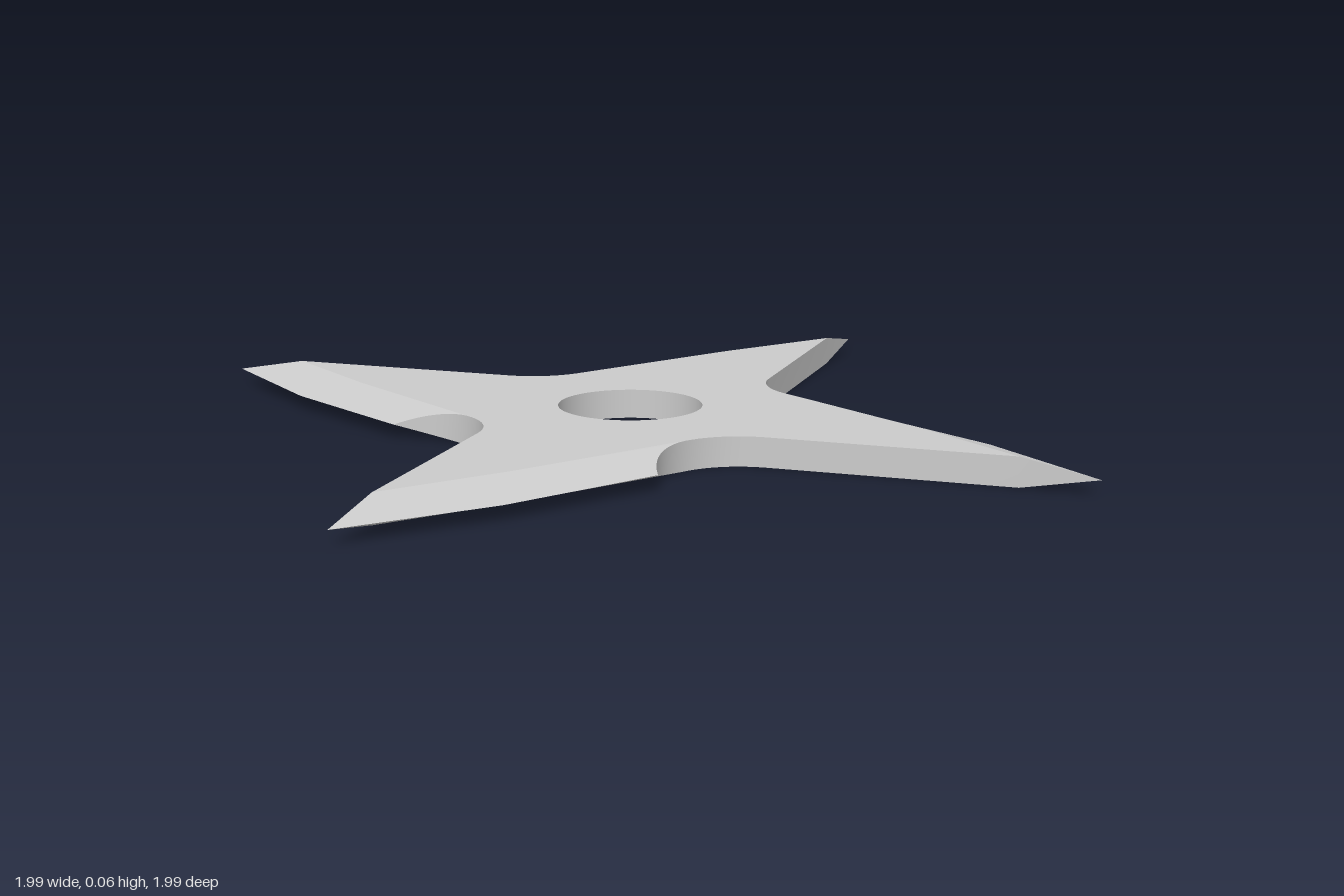
import * as THREE from 'three';
import { toCreasedNormals } from 'three/addons/utils/BufferGeometryUtils.js';

const MID = 0.03; // half of the plate thickness
const HOLE_RADIUS = 0.147;
const material = new THREE.MeshStandardMaterial({ color: 0xcccccc });

// Plan coordinates of one blade (x, v = -z), pointing to +v; h is the half thickness there
const pt = (x, v, h) => ({ x, v, h });
const turn = (p, k) => {
  let { x, v } = p;
  for (let i = 0; i < k; i++) [x, v] = [-v, x];
  return pt(x, v, p.h);
};

const tip = pt(0.172, 0.996, 0);
const edgeMid = pt(-0.04, 0.735, 0);
const ridgeTop = pt(0.165, 0.84, MID);
const ridgeMid = pt(0, 0.61, MID);

// Round notch between neighbouring blades
function notchArc(fromDeg, toDeg, steps) {
  const points = [];
  for (let i = 0; i <= steps; i++) {
    const a = THREE.MathUtils.degToRad(fromDeg + (toDeg - fromDeg) * i / steps);
    points.push(pt(-0.355 + 0.16 * Math.cos(a), 0.343 + 0.16 * Math.sin(a), MID));
  }
  return points;
}
const bevelArc = notchArc(32, -28, 10);
const rootArc = notchArc(-28, -87, 10);

// The bevel rises evenly from the cutting edge to the ridge
const edgeEnd = bevelArc[0];
const fromEdge = (p) => Math.abs((edgeEnd.x - edgeMid.x) * (p.v - edgeMid.v)
  - (edgeEnd.v - edgeMid.v) * (p.x - edgeMid.x));
const ridgeDistance = fromEdge(bevelArc[bevelArc.length - 1]);
bevelArc.forEach((p) => { p.h = MID * Math.min(1, fromEdge(p) / ridgeDistance); });

const top = (p) => [p.x, MID + p.h, -p.v];
const bottom = (p) => [p.x, MID - p.h, -p.v];

function trianglesMesh(name, corners) {
  const geometry = new THREE.BufferGeometry();
  geometry.setAttribute('position', new THREE.Float32BufferAttribute(corners.flat(), 3));
  const mesh = new THREE.Mesh(toCreasedNormals(geometry, 0.15), material);
  mesh.name = name;
  return mesh;
}

// Flat faces above and below, with the round hole
function flatFace(name, isTop) {
  const points = [];
  for (let k = 0; k < 4; k++) {
    for (const p of [ridgeTop, ridgeMid, ...rootArc]) {
      const q = turn(p, k);
      points.push(new THREE.Vector2(q.x, isTop ? q.v : -q.v));
    }
  }
  const shape = new THREE.Shape(points);
  shape.holes.push(new THREE.Path().absarc(0, 0, HOLE_RADIUS, 0, Math.PI * 2, true));
  const geometry = new THREE.ShapeGeometry(shape, 32);
  geometry.rotateX(isTop ? -Math.PI / 2 : Math.PI / 2);
  geometry.translate(0, isTop ? 2 * MID : 0, 0);
  const mesh = new THREE.Mesh(geometry, material);
  mesh.name = name;
  return mesh;
}

// Ground facets along one cutting edge, on both faces
function bladeBevel(k) {
  const corners = [];
  const fan = (centre, rim) => {
    for (let i = 0; i < rim.length - 1; i++) {
      const [a, b, c] = [centre, rim[i], rim[i + 1]].map((p) => turn(p, k));
      corners.push(top(a), top(b), top(c), bottom(a), bottom(c), bottom(b));
    }
  };
  fan(ridgeMid, [ridgeTop, tip, edgeMid, ...bevelArc]);
  return trianglesMesh('bladeBevel', corners);
}

// Upright side wall, tapering to nothing at the tip and cutting edge
function sideWall(k) {
  const corners = [];
  // runs from the notch of this blade along the straight side of the next one
  const path = [...bevelArc, ...rootArc.slice(1), turn(ridgeTop, 1), turn(tip, 1)]
    .map((p) => turn(p, k));
  for (let i = 0; i < path.length - 1; i++) {
    const [a, b] = [path[i], path[i + 1]];
    if (b.h > 0) corners.push(bottom(a), bottom(b), top(b));
    if (a.h > 0) corners.push(bottom(a), top(b), top(a));
  }
  return trianglesMesh('sideWall', corners);
}

export function createModel() {
  const group = new THREE.Group();
  group.name = 'throwingStar';
  group.add(flatFace('topFace', true), flatFace('bottomFace', false));

  // Four blades around the centre
  for (let k = 0; k < 4; k++) {
    const blade = new THREE.Group();
    blade.name = 'blade';
    blade.add(bladeBevel(k), sideWall(k));
    group.add(blade);
  }

  // Inner wall of the hole, facing the axis
  const bore = new THREE.Mesh(new THREE.LatheGeometry(
    [new THREE.Vector2(HOLE_RADIUS, 2 * MID), new THREE.Vector2(HOLE_RADIUS, 0)], 64), material);
  bore.name = 'centreHole';
  group.add(bore);
  return group;
}
